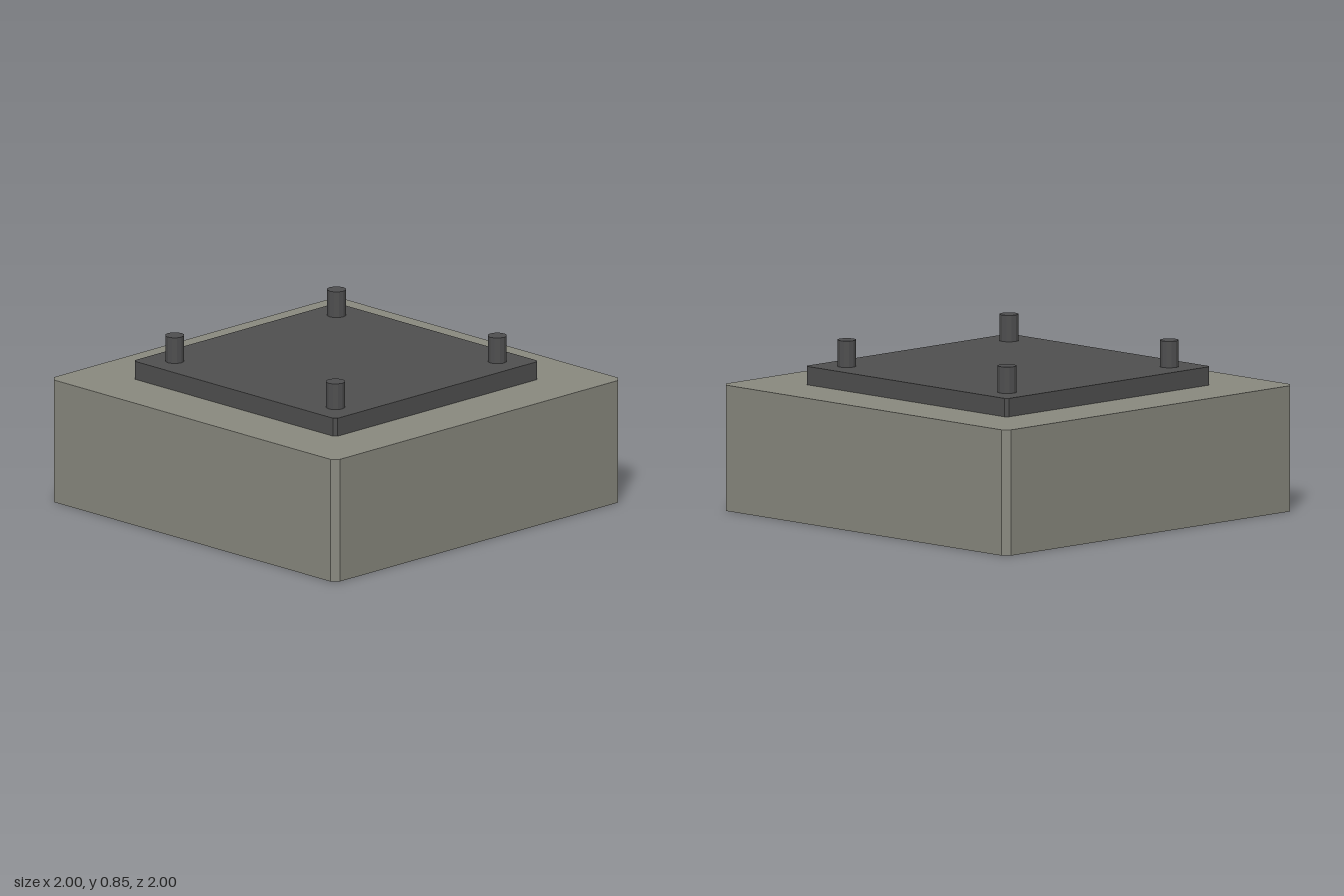
import * as THREE from 'three';

const concrete = new THREE.MeshStandardMaterial({ name: 'concrete grey', color: 0x8a8a80 });
const steel = new THREE.MeshStandardMaterial({ name: 'dark steel', color: 0x505050 });

// Square slab with chamfered vertical corners, standing on y = bottom
function chamferedSlab(name, half, chamfer, bottom, top, material) {
  const inner = half - chamfer;
  const shape = new THREE.Shape([
    [inner, -half], [half, -inner], [half, inner], [inner, half],
    [-inner, half], [-half, inner], [-half, -inner], [-inner, -half],
  ].map(([x, y]) => new THREE.Vector2(x, y)));
  const geometry = new THREE.ExtrudeGeometry(shape, { depth: top - bottom, bevelEnabled: false });
  geometry.rotateX(-Math.PI / 2).translate(0, bottom, 0);
  const mesh = new THREE.Mesh(geometry, material);
  mesh.name = name;
  return mesh;
}

export function createModel() {
  const model = new THREE.Group();
  model.name = 'foundationBlock';

  // Concrete footing and steel base plate
  model.add(chamferedSlab('footing', 1, 0.033, 0, 0.628, concrete));
  model.add(chamferedSlab('basePlate', 0.708, 0.016, 0.628, 0.72, steel));

  // Anchor bolts near the plate corners, sunk slightly into the plate
  const boltMaterial = steel.clone();
  boltMaterial.name = 'bolt steel';
  boltMaterial.color.set(0x4f4f50);
  boltMaterial.flatShading = true;
  const boltGeometry = new THREE.CylinderGeometry(0.048, 0.048, 0.16, 12);
  for (const x of [-1, 1]) {
    for (const z of [-1, 1]) {
      const bolt = new THREE.Mesh(boltGeometry, boltMaterial);
      bolt.name = 'anchorBolt';
      bolt.position.set(x * 0.562, 0.772, z * 0.562);
      model.add(bolt);
    }
  }
  return model;
}
